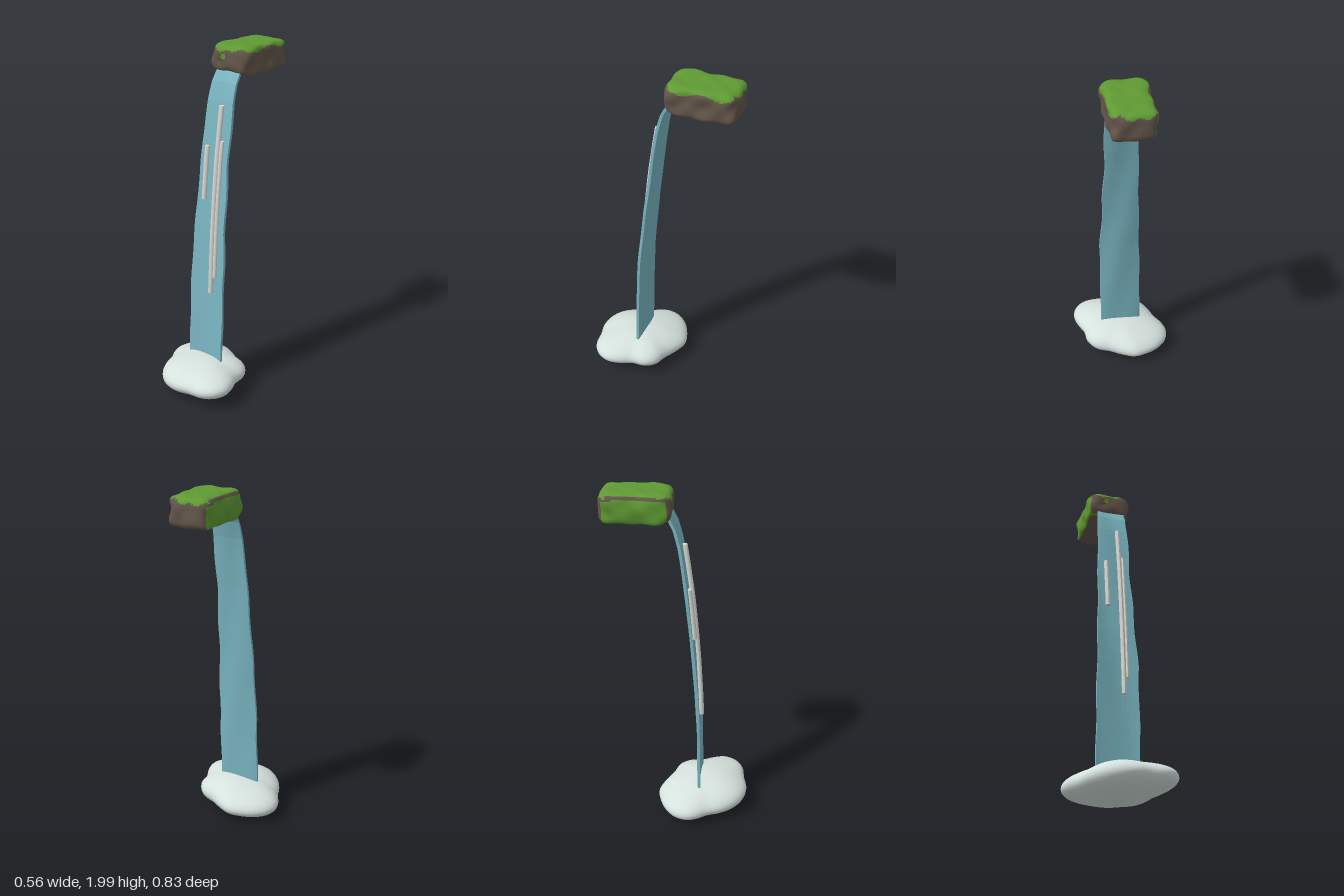
import * as THREE from 'three';
import { mergeVertices } from 'three/addons/utils/BufferGeometryUtils.js';

const mat = (name, color) => new THREE.MeshStandardMaterial({ name, color });
const lerp = THREE.MathUtils.lerp;

// Move every vertex of a geometry by a rule, weld it and smooth it.
function reshape(geometry, rule) {
  geometry.deleteAttribute('uv');
  geometry.deleteAttribute('normal');
  const g = mergeVertices(geometry, 1e-5);
  const p = g.attributes.position, v = new THREE.Vector3();
  for (let i = 0; i < p.count; i++) {
    rule(v.fromBufferAttribute(p, i));
    p.setXYZ(i, v.x, v.y, v.z);
  }
  g.computeVertexNormals();
  return g;
}

// Piecewise linear lookup in a short list of [y, value] pairs, y falling.
function along(list, y) {
  for (let i = 1; i < list.length; i++) {
    const [y0, a] = list[i - 1], [y1, b] = list[i];
    if (y >= y1) return lerp(a, b, Math.max(0, (y0 - y) / (y0 - y1)));
  }
  return list[list.length - 1][1];
}

// Rounded, lumpy boulder; upper triangles go to the moss group.
function makeRock(materials) {
  const g = reshape(new THREE.BoxGeometry(2, 2, 2, 22, 14, 32), (v) => {
    const k = 6;
    const len = (Math.abs(v.x) ** k + Math.abs(v.y) ** k + Math.abs(v.z) ** k) ** (1 / k);
    v.divideScalar(len);
    const { x, y, z } = v;
    const lump = 0.025 * Math.sin(5 * x + 3 * z) * Math.cos(4 * y - 2 * z)
      + 0.02 * Math.sin(9 * z + 4 * y) * Math.cos(7 * x);
    const front = Math.max(0, z);
    v.x = 0.014 + x * (0.119 + 0.012 * front) * (1 + lump * 1.5);
    v.y = 1.914 + y * 0.084 * (1 + lump) + (y < 0 ? 0.018 * front * (1 - x * x) : 0);
    v.z = -0.222 + z * 0.191 * (1 + lump * 0.6);
  });
  const p = g.attributes.position, idx = g.index.array;
  const stone = [], moss = [];
  for (let i = 0; i < idx.length; i += 3) {
    const tri = [idx[i], idx[i + 1], idx[i + 2]];
    const mean = (get) => (get(tri[0]) + get(tri[1]) + get(tri[2])) / 3;
    const x = mean((j) => p.getX(j)), y = mean((j) => p.getY(j)), z = mean((j) => p.getZ(j));
    const rim = 1.972 + 0.008 * Math.sin(34 * z + 25 * x) + 0.006 * Math.sin(70 * x - 20 * z);
    const bare = x < -0.083 + 0.008 * Math.sin(60 * z) && z < -0.1 && z > -0.37;
    const patch = Math.hypot(x + 0.012, y - 1.935) < 0.016 && z > -0.1;
    ((y > rim && !bare) || patch ? moss : stone).push(...tri);
  }
  g.setIndex([...stone, ...moss]);
  g.addGroup(0, stone.length, 0);
  g.addGroup(stone.length, moss.length, 1);
  return new THREE.Mesh(g, materials);
}

// Falling sheet: depth and side edges by height.
const DEPTH = [[1.9, -0.075], [1.86, -0.045], [1.8, -0.014], [1.7, 0.012], [1.6, 0.028], [1.4, 0.056],
  [1.2, 0.077], [1, 0.094], [0.8, 0.107], [0.6, 0.117], [0.4, 0.124], [0.18, 0.13]];
const LEFT = [[1.9, -0.06], [1.6, -0.082], [1.3, -0.09], [1, -0.1], [0.6, -0.112], [0.18, -0.118]];
const RIGHT = [[1.9, 0.098], [1.6, 0.103], [1.4, 0.1], [1.2, 0.11], [1, 0.114], [0.8, 0.126], [0.18, 0.124]];

function makeSheet(material) {
  const g = reshape(new THREE.BoxGeometry(2, 1.72, 2, 10, 36, 1), (v) => {
    const y = v.y + 1.04, u = v.x, side = v.z;
    const edge = 0.0025 * Math.sin(17 * y);
    v.x = lerp(along(LEFT, y) + edge, along(RIGHT, y) + edge, (u + 1) / 2);
    const curl = 0.014 * u * u * (1.9 - y) / 1.7;
    const ripple = 0.003 * Math.sin(6 * y + 3 * u);
    v.y = y;
    v.z = along(DEPTH, y) + curl + ripple - 0.004 + side * 0.008;
  });
  const flat = g.toNonIndexed();
  // Smooth across the sheet, crisp along its thin border.
  const n = flat.attributes.normal, p = flat.attributes.position;
  const a = new THREE.Vector3(), b = new THREE.Vector3(), c = new THREE.Vector3();
  for (let i = 0; i < p.count; i += 3) {
    a.fromBufferAttribute(p, i); b.fromBufferAttribute(p, i + 1); c.fromBufferAttribute(p, i + 2);
    b.sub(a); c.sub(a); b.cross(c).normalize();
    for (let j = i; j < i + 3; j++) n.setXYZ(j, b.x, b.y, b.z);
  }
  return new THREE.Mesh(flat, material);
}

// Slim rod that follows the curve of the sheet.
function makeStreak(material, x, low, high, radius, lift) {
  const mid = (low + high) / 2;
  const g = new THREE.CylinderGeometry(radius, radius, high - low, 8, 16);
  const p = g.attributes.position;
  for (let i = 0; i < p.count; i++) {
    const y = p.getY(i) + mid;
    p.setXYZ(i, p.getX(i) + x + 0.01 * (y - mid) * -0.5, y, p.getZ(i) + along(DEPTH, y) + lift);
  }
  g.computeVertexNormals();
  return new THREE.Mesh(g, material);
}

// Flattened splash cloud swept from a wavy plan outline.
function makeFoam(material) {
  const plan = [[0.235, 0.13], [0.27, 0.21], [0.28, 0.28], [0.25, 0.345], [0.19, 0.385], [0.1, 0.397],
    [0.01, 0.415], [-0.08, 0.397], [-0.15, 0.345], [-0.2, 0.27], [-0.23, 0.19], [-0.265, 0.13],
    [-0.28, 0.07], [-0.26, 0], [-0.2, -0.06], [-0.11, -0.1], [-0.05, -0.11], [0.03, -0.08],
    [0.1, -0.04], [0.18, -0.01], [0.225, 0.05]];
  const curve = new THREE.CatmullRomCurve3(plan.map(([x, z]) => new THREE.Vector3(x, 0, z)), true);
  const around = 64, rows = 24, cx = 0, cz = 0.15;
  const outline = curve.getPoints(around);
  const pos = [], idx = [];
  for (let r = 0; r <= rows; r++) {
    const t = (r / rows - 0.5) * Math.PI;
    const reach = r === 0 || r === rows ? 0 : Math.cos(t);
    for (let i = 0; i < around; i++) {
      const x = cx + (outline[i].x - cx) * reach, z = cz + (outline[i].z - cz) * reach;
      const middle = 0.108 + 0.05 * x + 0.02 * z;
      const swell = 0.1 + 0.006 * Math.sin(14 * x + 9 * z) * reach;
      pos.push(x, middle + swell * Math.sin(t), z);
    }
  }
  for (let r = 0; r < rows; r++) {
    for (let i = 0; i < around; i++) {
      const a = r * around + i, b = r * around + (i + 1) % around, c = a + around, d = b + around;
      if (r > 0) idx.push(a, c, b);
      if (r < rows - 1) idx.push(b, c, d);
      else idx.push(b, c, b + around);
    }
  }
  const g = new THREE.BufferGeometry();
  g.setAttribute('position', new THREE.Float32BufferAttribute(pos, 3));
  g.setIndex(idx);
  return new THREE.Mesh(reshape(g, () => {}), material);
}

export function createModel() {
  const stone = mat('stone brown', 0x64564b);
  const moss = mat('moss green', 0x5f9a33);
  const water = mat('water blue', 0x7ab6c2);
  const white = mat('foam white', 0xd6e2de);
  const pale = mat('streak white', 0xdadad6);

  const model = new THREE.Group();
  model.name = 'waterfall';
  const add = (name, mesh) => { mesh.name = name; model.add(mesh); };

  add('mossyRock', makeRock([stone, moss]));
  add('waterSheet', makeSheet(water));
  add('splashFoam', makeFoam(white));

  // Bright streaks on the front of the sheet
  add('longStreak', makeStreak(pale, 0.038, 0.62, 1.69, 0.014, 0.018));
  add('middleStreak', makeStreak(pale, 0.06, 0.72, 1.5, 0.011, 0.013));
  add('shortStreak', makeStreak(pale, -0.04, 1.16, 1.46, 0.014, 0.014));
  return model;
}
